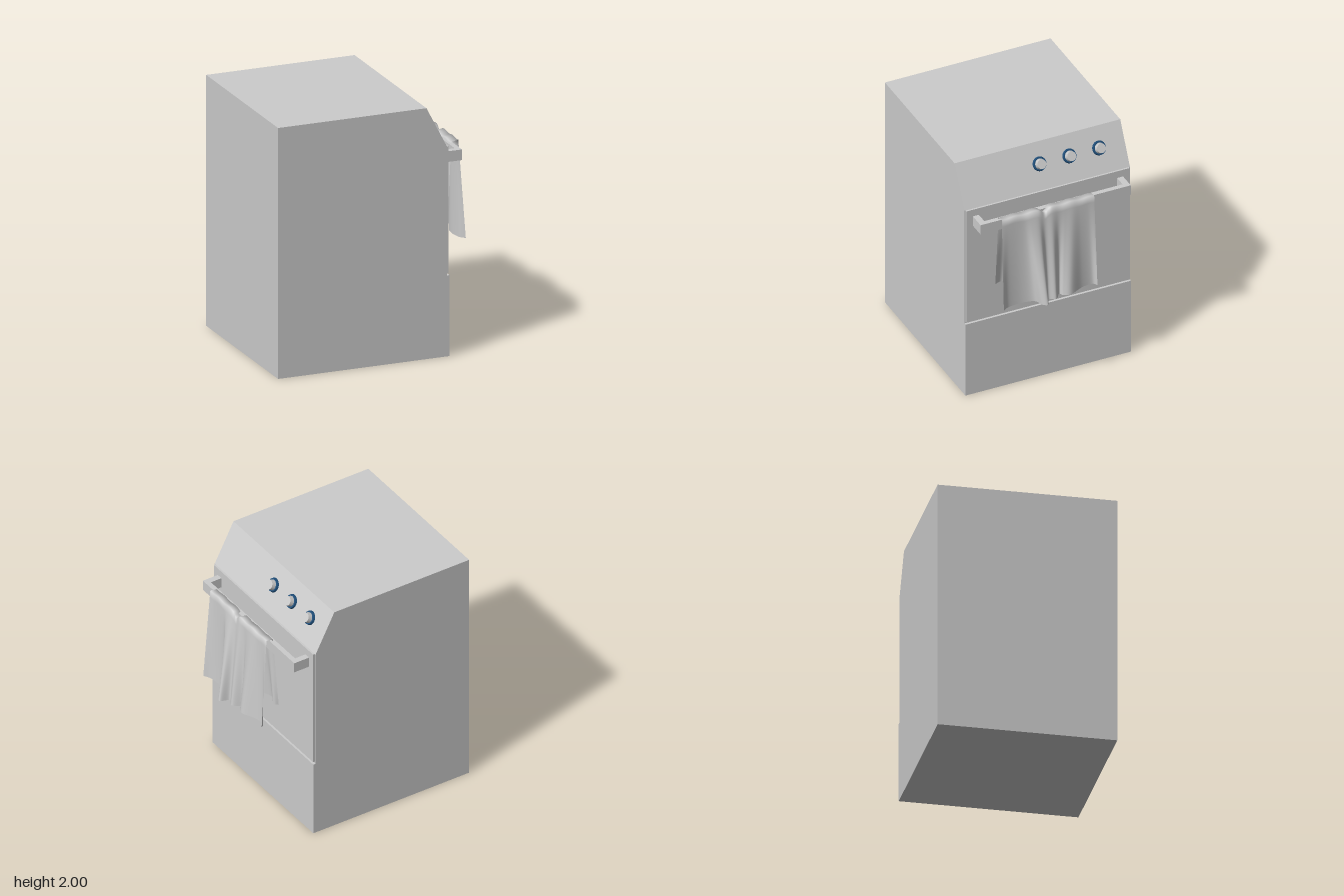
import * as THREE from 'three';

const grey = new THREE.MeshStandardMaterial({ color: 0xcccccc });
const blue = new THREE.MeshStandardMaterial({ color: 0x1f4e79 });
const cloth = new THREE.MeshStandardMaterial({ color: 0xcccccc, side: THREE.DoubleSide });

function add(parent, name, geometry, material = grey) {
  const mesh = new THREE.Mesh(geometry, material);
  mesh.name = name;
  parent.add(mesh);
  return mesh;
}

// Box given by its lower and upper corner
function box(parent, name, [x0, y0, z0], [x1, y1, z1]) {
  const mesh = add(parent, name, new THREE.BoxGeometry(x1 - x0, y1 - y0, z1 - z0));
  mesh.position.set((x0 + x1) / 2, (y0 + y1) / 2, (z0 + z1) / 2);
}

// Hem line seen from above, as (z, x) points
const hem = (points) => new THREE.SplineCurve(points.map(([z, x]) => new THREE.Vector2(z, x)));

// Cloth draped over the bar: back sheet, narrow top, longer front sheet
function towelGeometry() {
  const backHem = hem([[-0.31, 0.61], [-0.28, 0.64], [-0.2, 0.6], [-0.1, 0.63], [-0.03, 0.68],
    [0.02, 0.6], [0.08, 0.6], [0.13, 0.67], [0.18, 0.62], [0.26, 0.66], [0.34, 0.63], [0.42, 0.6], [0.48, 0.625]]);
  const frontHem = hem([[-0.31, 0.765], [-0.28, 0.735], [-0.19, 0.745], [-0.08, 0.79], [-0.02, 0.77],
    [0, 0.74], [0.05, 0.8], [0.11, 0.78], [0.14, 0.85], [0.18, 0.83], [0.21, 0.755], [0.3, 0.73], [0.42, 0.74], [0.48, 0.775]]);
  const cols = 96, rows = 28, half = rows / 2;
  const geometry = new THREE.PlaneGeometry(1, 1, cols, rows);
  const pos = geometry.attributes.position;
  for (let j = 0; j <= rows; j++) {
    const front = j > half;
    // 0 at the top edge of each sheet, 1 at its hem
    const t = front ? (j - half - 1) / (half - 1) : (half - j) / half;
    for (let i = 0; i <= cols; i++) {
      const u = i / cols;
      const low = (front ? frontHem : backHem).getPoint(u);
      const topZ = -0.305 + 0.775 * u;
      const pinch = 0.035 * Math.exp(-(((topZ - 0.11) / 0.03) ** 2));
      const topY = (front ? 1.635 : 1.625) - pinch + 0.004 * Math.sin(u * 31);
      const hemY = (front ? 0.845 : 0.995) + 0.004 * Math.sin(u * 13);
      pos.setXYZ(j * (cols + 1) + i,
        THREE.MathUtils.lerp(front ? 0.718 : 0.66, low.y, t),
        THREE.MathUtils.lerp(topY, hemY, t),
        THREE.MathUtils.lerp(topZ, low.x, t));
    }
  }
  geometry.computeVertexNormals();
  return geometry;
}

export function createModel() {
  const model = new THREE.Group();
  model.name = 'oven';

  // Cabinet: side profile with sloped control panel and lower drawer front
  const profile = new THREE.Shape([[-0.86, 0], [0.55, 0], [0.55, 0.645], [0.53, 0.645],
    [0.53, 1.67], [0.36, 2], [-0.86, 2]].map(([x, y]) => new THREE.Vector2(x, y)));
  const body = new THREE.ExtrudeGeometry(profile, { depth: 1.39, bevelEnabled: false });
  add(model, 'cabinet', body.translate(0, 0, -0.695));

  // Oven door
  box(model, 'door', [0.525, 0.66, -0.685], [0.545, 1.67, 0.685]);

  // Door handle
  const handle = new THREE.Group();
  handle.name = 'handle';
  box(handle, 'handleBar', [0.64, 1.525, -0.63], [0.68, 1.61, 0.63]);
  for (const s of [-1, 1]) {
    box(handle, 'handleArm', [0.54, 1.525, s * 0.605 - 0.025], [0.64, 1.61, s * 0.605 + 0.025]);
  }
  model.add(handle);

  // Control knobs standing square to the sloped panel
  for (const z of [0.02, -0.23, -0.48]) {
    const knob = new THREE.Group();
    knob.name = 'knob';
    add(knob, 'knobBase', new THREE.CylinderGeometry(0.052, 0.057, 0.016, 32), blue).position.y = 0.008;
    add(knob, 'knobCap', new THREE.CylinderGeometry(0.037, 0.042, 0.034, 32)).position.y = 0.032;
    knob.position.set(0.438, 1.848, z);
    knob.rotation.z = -Math.atan2(0.33, 0.17);
    model.add(knob);
  }

  // Towel hanging on the handle
  add(model, 'towel', towelGeometry(), cloth);
  return model;
}
